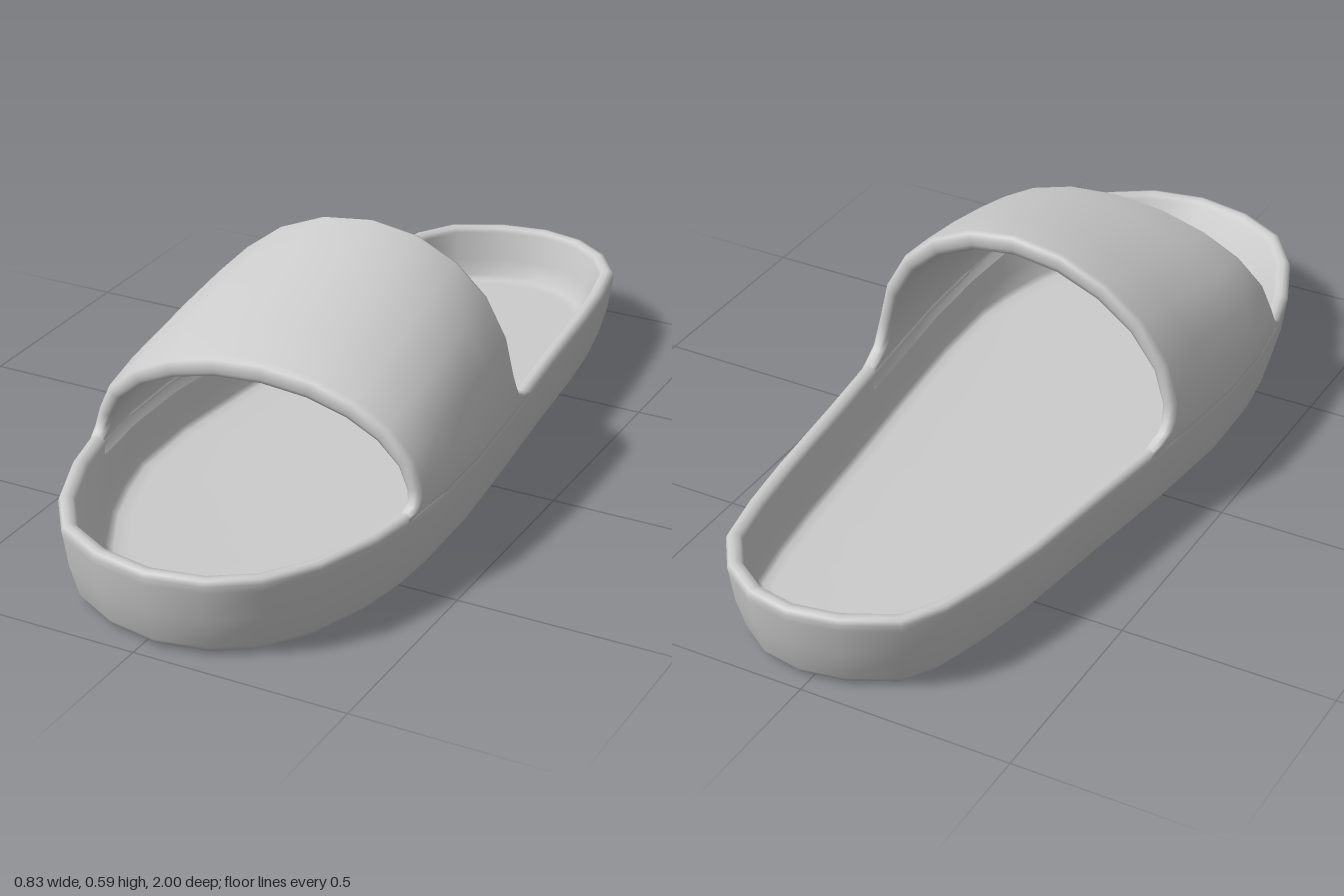
import * as THREE from 'three';

// Footprint rows: [z, left edge x, right edge x]
const ROWS = [
  [-1, 0.028, 0.028], [-0.98, -0.085, 0.134], [-0.92, -0.203, 0.224], [-0.83, -0.26, 0.287],
  [-0.7, -0.298, 0.314], [-0.55, -0.328, 0.334], [-0.3, -0.36, 0.358], [-0.04, -0.395, 0.387],
  [0.2, -0.418, 0.41], [0.4, -0.412, 0.416], [0.52, -0.395, 0.41], [0.65, -0.364, 0.388],
  [0.8, -0.303, 0.335], [0.91, -0.224, 0.258], [0.975, -0.105, 0.158], [1, 0.028, 0.028],
];
const LAST = ROWS.length - 1;
const COUNT = LAST * 2;

// Centre and half width of the footprint at a given z
function footprint(z) {
  let k = 0;
  while (k < LAST - 1 && ROWS[k + 1][0] < z) k++;
  const a = ROWS[k], b = ROWS[k + 1];
  const t = (z - a[0]) / (b[0] - a[0]);
  const l = a[1] + (b[1] - a[1]) * t, r = a[2] + (b[2] - a[2]) * t;
  return { centre: (l + r) / 2, half: (r - l) / 2 };
}

// Skin closed rings of equal length; optional caps join opposite points of a ring
function skin(rings, capped) {
  const n = rings[0].length, index = [];
  for (let j = 0; j < rings.length - 1; j++) {
    for (let i = 0; i < n; i++) {
      const a = j * n + i, b = j * n + (i + 1) % n;
      index.push(a, a + n, b, b, a + n, b + n);
    }
  }
  if (capped) {
    const top = (rings.length - 1) * n;
    for (let k = 0; k < n / 2; k++) {
      const r0 = k, r1 = k + 1, l0 = (n - k) % n, l1 = n - k - 1;
      for (const [a, b, c] of [[r0, l0, l1], [r0, l1, r1]]) {
        if (a === b || b === c || a === c) continue;
        index.push(top + a, top + b, top + c, a, c, b);
      }
    }
  }
  const geo = new THREE.BufferGeometry();
  geo.setAttribute('position', new THREE.Float32BufferAttribute(rings.flat(2), 3));
  geo.setIndex(index);
  geo.computeVertexNormals();
  return geo;
}

// Sole: the footprint inset ring by ring, up the outside, over the rim, down to the footbed
function soleGeometry() {
  const outline = [];
  for (let k = 0; k <= LAST; k++) outline.push([ROWS[k][2], ROWS[k][0]]);
  for (let k = LAST - 1; k > 0; k--) outline.push([ROWS[k][1], ROWS[k][0]]);
  const profile = [
    [0.1, 0.003], [0.07, 0.004], [0.045, 0.01], [0.034, 0.025], [0.013, 0.1], [0.003, 0.17],
    [0, 0.187], [0.005, 0.197], [0.016, 0.2], [0.03, 0.197], [0.037, 0.187],
    [0.053, 0.12], [0.064, 0.08], [0.076, 0.071], [0.1, 0.07],
  ];
  const rings = profile.map(([inset, y], j) => outline.map(([x, z], i) => {
    const p = outline[(i + COUNT - 1) % COUNT], q = outline[(i + 1) % COUNT];
    const dx = q[0] - p[0], dz = q[1] - p[1], len = Math.hypot(dx, dz);
    // the footbed wall slopes more gently around the toe
    const d = j > 10 && z > 0.4 ? inset * (1 + 0.5 * Math.min(1, (z - 0.4) / 0.4)) : inset;
    return [x - dz / len * d, y, z + dx / len * d];
  }));
  return skin(rings, true);
}

// Strap: a rounded band section carried over an arch from one side wall to the other
function strapGeometry() {
  // [width factor, height factor, back flare, front flare]
  const half = [
    [0.96, -0.08, 0.12, 0.06], [1, -0.005, 0.12, 0.06], [1, 0.03, 0.075, 0.035],
    [1, 0.07, 0.036, 0.016], [0.998, 0.13, 0.018, 0.005], [0.985, 0.22, 0.004, 0],
    [0.925, 0.445, 0, 0], [0.775, 0.675, 0, 0], [0.565, 0.845, 0, 0], [0.3, 0.96, 0, 0],
  ];
  const arch = [
    ...half, [0, 1, 0, 0],
    ...half.slice().reverse().map(([f, ...rest]) => [-f, ...rest]),
  ];
  // Band section: [position back to front, depth outside to inside]
  const band = [
    [0.03, 0], [0.25, 0], [0.5, 0], [0.75, 0], [0.97, 0], [0.992, 0.12], [1, 0.35], [1, 0.65],
    [0.99, 0.88], [0.965, 1], [0.75, 1], [0.5, 1], [0.25, 1], [0.035, 1],
    [0.01, 0.88], [0, 0.65], [0, 0.35], [0.008, 0.12],
  ];
  const rings = arch.map(([f, g, back, front]) => band.map(([s, t]) => {
    const z0 = -0.03 - back, z1 = 0.5 + front;
    const z = z0 + (z1 - z0) * s;
    const { centre, half: w } = footprint(z);
    const height = 0.406 - 0.145 * Math.pow(s, 1.2) - 0.052 * t;
    const x = centre + (0.025 - centre) * g * g + f * (w - 0.034 * t);
    return [x, 0.19 + height * g, z];
  }));
  return skin(rings, false);
}

export function createModel() {
  const group = new THREE.Group();
  group.name = 'slideSandal';
  const material = new THREE.MeshStandardMaterial({ color: 0xcccccc });
  const parts = { sole: soleGeometry(), strap: strapGeometry() };
  for (const [name, geometry] of Object.entries(parts)) {
    const mesh = new THREE.Mesh(geometry, material);
    mesh.name = name;
    group.add(mesh);
  }
  return group;
}
